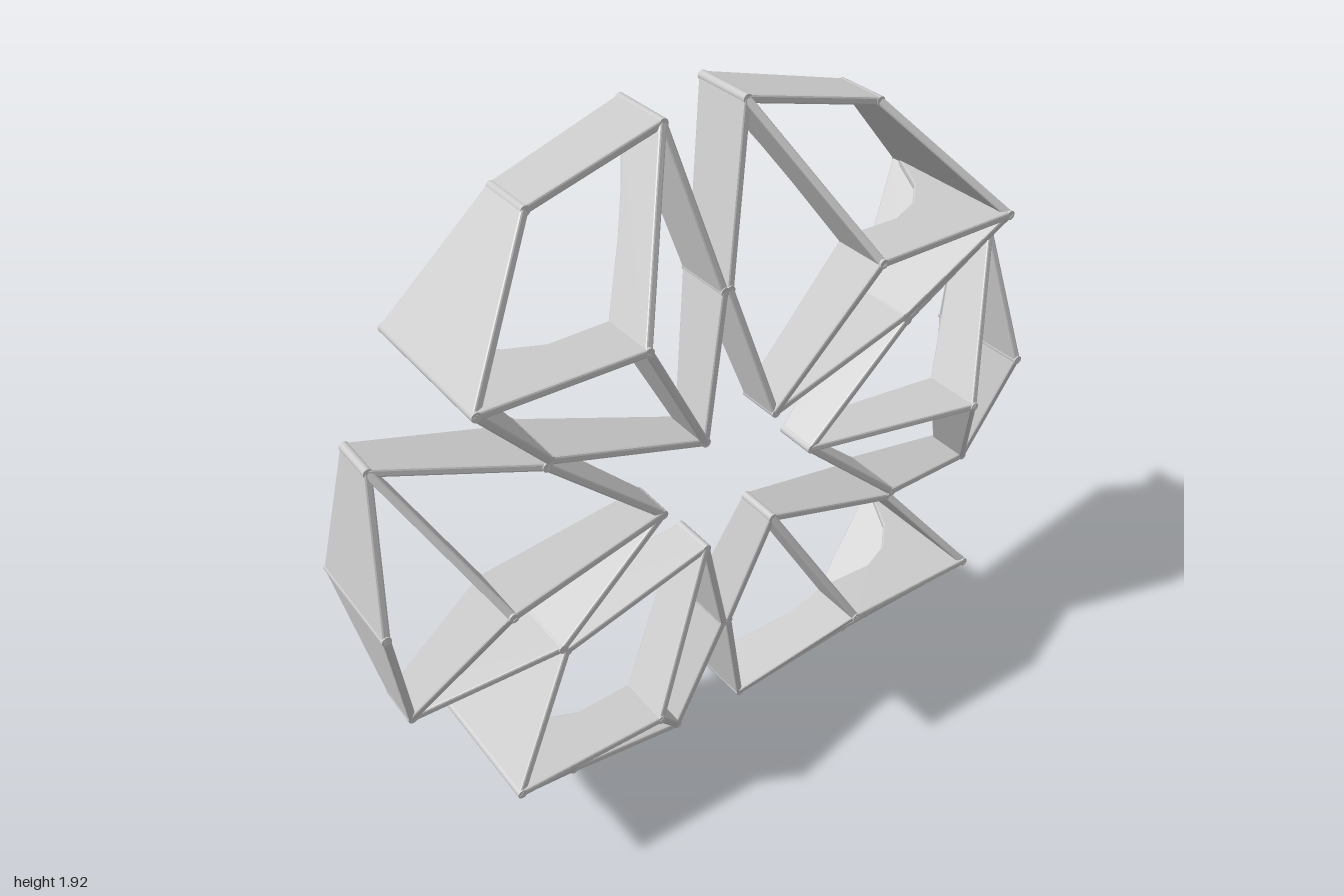
import * as THREE from 'three';

const CENTRE_Y = 0.965;
const THICK = 0.021;
const BEVEL = 0.005;
const material = new THREE.MeshStandardMaterial({ color: 0xcccccc });

// Nodes: [x, y from the wheel centre, back z, front z]
const sideCell = {
  inner: [0.235, 0, -0.02, 0.10],
  upperJoint: [0.545, 0.284, -0.09, 0.10],
  upperTip: [0.925, 0.378, -0.12, 0.005],
  rim: [0.988, 0, -0.21, 0.11],
  lowerTip: [0.925, -0.378, -0.12, 0.005],
  lowerJoint: [0.545, -0.284, -0.09, 0.10],
  hub: [0.72, 0, 0.04, 0.21],
};
const sideRing = ['inner', 'upperJoint', 'upperTip', 'rim', 'lowerTip', 'lowerJoint'];
const sideSpokes = [['inner', 0], ['upperTip', 0], ['lowerTip', 0]];

const cornerCell = {
  inner: [0.108, 0.17, -0.02, 0.105],
  middleJoint: [0.008, 0.53, -0.12, 0.045],
  topTip: [0.115, 0.95, -0.22, -0.04],
  rim: [0.49, 0.865, -0.155, -0.005],
  outerTip: [0.755, 0.573, -0.22, 0.215],
  sideJoint: [0.535, 0.298, -0.09, 0.10],
  hub: [0.335, 0.57, 0.06, 0.215],
};
const cornerRing = ['inner', 'middleJoint', 'topTip', 'rim', 'outerTip', 'sideJoint'];
const cornerSpokes = [['inner', 0], ['topTip', 0.03], ['outerTip', 0.14]];

// Upright thin wall between two nodes; sag lifts the middle of its back edge
function wall(p, q, sag, name) {
  const dir = new THREE.Vector3(q[0] - p[0], q[1] - p[1], 0);
  const length = dir.length();
  dir.normalize();
  const shape = new THREE.Shape();
  shape.moveTo(0, p[2] + BEVEL);
  if (sag) {
    for (const t of [0.2, 0.38, 0.6]) {
      const lift = sag * Math.sin(Math.PI * Math.pow(t, 0.75));
      shape.lineTo(length * t, p[2] + (q[2] - p[2]) * t + BEVEL + lift);
    }
  }
  shape.lineTo(length, q[2] + BEVEL);
  shape.lineTo(length, q[3] - BEVEL);
  shape.lineTo(0, p[3] - BEVEL);
  const geometry = new THREE.ExtrudeGeometry(shape, {
    depth: THICK - 2 * BEVEL, bevelEnabled: true, bevelThickness: BEVEL,
    bevelSize: BEVEL, bevelSegments: 2,
  });
  geometry.translate(0, 0, -THICK / 2 + BEVEL);
  const zAxis = new THREE.Vector3(0, 0, 1);
  const side = new THREE.Vector3().crossVectors(dir, zAxis);
  geometry.applyMatrix4(new THREE.Matrix4().makeBasis(dir, zAxis, side));
  const mesh = new THREE.Mesh(geometry, material);
  mesh.position.set(p[0], p[1], 0);
  mesh.name = name;
  return mesh;
}

// Rounded post joining the walls at a node
function post(p, name) {
  const geometry = new THREE.CylinderGeometry(0.0125, 0.0125, p[3] - p[2], 12);
  geometry.rotateX(Math.PI / 2);
  const mesh = new THREE.Mesh(geometry, material);
  mesh.position.set(p[0], p[1], (p[2] + p[3]) / 2);
  mesh.name = name;
  return mesh;
}

// Six-walled cell with three spokes meeting at a hub
function cell(nodes, ring, spokes, sx, sy, name) {
  const group = new THREE.Group();
  group.name = name;
  const at = (key) => {
    const [x, y, back, front] = nodes[key];
    return [x * sx, y * sy, back, front];
  };
  ring.forEach((key, i) => {
    group.add(wall(at(key), at(ring[(i + 1) % ring.length]), 0, 'outerWall'));
  });
  for (const [key, sag] of spokes) group.add(wall(at(key), at('hub'), sag, 'spoke'));
  for (const key of Object.keys(nodes)) group.add(post(at(key), key + 'Post'));
  return group;
}

export function createModel() {
  const model = new THREE.Group();
  model.name = 'latticeWheel';
  for (const sx of [1, -1]) {
    const hand = sx > 0 ? 'left' : 'right';
    model.add(cell(sideCell, sideRing, sideSpokes, sx, 1, hand + 'SideCell'));
    for (const sy of [1, -1]) {
      const level = sy > 0 ? 'Upper' : 'Lower';
      model.add(cell(cornerCell, cornerRing, cornerSpokes, sx, sy, hand + level + 'Cell'));
    }
  }
  model.position.y = CENTRE_Y;
  return model;
}
